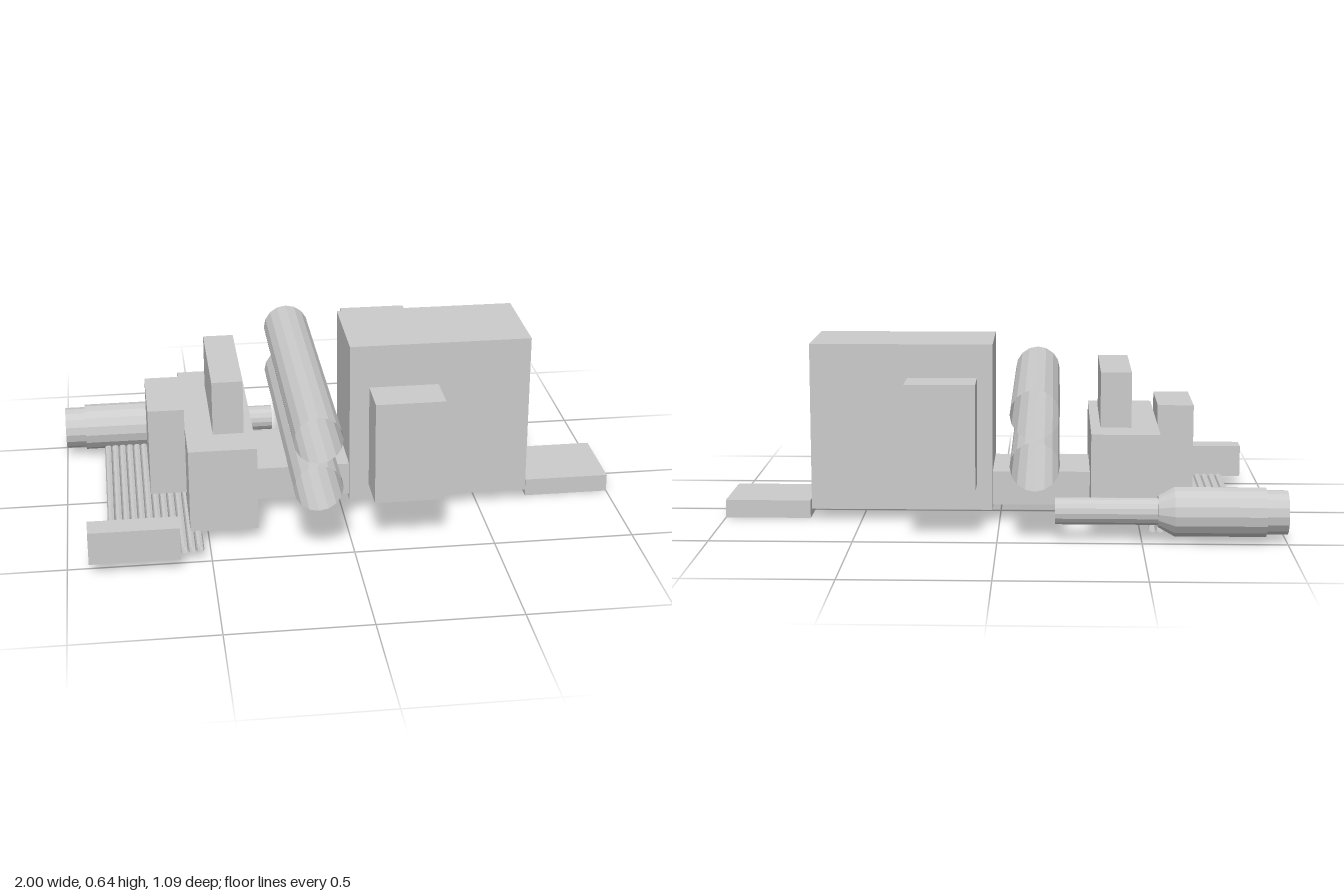
import * as THREE from 'three';

const solid = new THREE.MeshStandardMaterial({ color: 0xcccccc, flatShading: true });
const shell = new THREE.MeshStandardMaterial({ color: 0xcccccc, flatShading: true, side: THREE.DoubleSide });

export function createModel() {
  const model = new THREE.Group();

  const add = (name, geometry, material, x, y, z) => {
    const mesh = new THREE.Mesh(geometry, material);
    mesh.name = name;
    mesh.position.set(x, y, z);
    model.add(mesh);
    return mesh;
  };
  // Box given by its limits on each axis
  const box = (name, [x0, x1], [y0, y1], [z0, z1]) =>
    add(name, new THREE.BoxGeometry(x1 - x0, y1 - y0, z1 - z0), solid,
      (x0 + x1) / 2, (y0 + y1) / 2, (z0 + z1) / 2);
  // Open tube running along z
  const tube = (name, radius, length, sides, x, y, z) => {
    const g = new THREE.CylinderGeometry(radius, radius, length, sides, 1, true);
    g.rotateX(Math.PI / 2);
    return add(name, g, shell, x, y, z);
  };

  // Body, from the foot plate at +x to the tail box at -x
  box('footPlate', [0.69, 1.0], [0.0, 0.065], [-0.143, 0.143]);
  box('mainBlock', [0.025, 0.68], [0.043, 0.645], [-0.179, 0.179]);
  box('connectingBeam', [-0.325, 0.025], [0.06, 0.182], [-0.163, 0.163]);
  box('rearBlock', [-0.566, -0.325], [0.045, 0.355], [-0.36, 0.36]);
  box('upperBlock', [-0.47, -0.36], [0.355, 0.553], [-0.222, 0.222]);
  box('tailBox', [-0.695, -0.566], [0.1, 0.425], [-0.152, 0.152]);

  // Hanging side boxes
  box('sideBoxFront', [0.075, 0.32], [0.171, 0.545], [0.315, 0.468]);
  box('sideBoxBack', [0.075, 0.32], [0.171, 0.545], [-0.468, -0.315]);

  // Pair of stacked cross tubes
  tube('lowerCrossTube', 0.0855, 1.072, 16, -0.13, 0.275, 0);
  tube('upperCrossTube', 0.0855, 1.072, 16, -0.13, 0.455, 0);

  // Row of thin rods forming a rack
  const rods = 12, pitch = 0.0275;
  for (let i = 0; i < rods; i++) {
    tube('rackRod' + (i + 1), pitch / 2, 0.9, 8, -0.855 + pitch * (i + 0.5), 0.036, 0.027);
  }
  box('rackEndBox', [-0.925, -0.61], [0.04, 0.16], [0.457, 0.547]);

  // Stepped hollow barrel along x
  const profile = [
    [0.077, -1.0], [0.077, -0.925], [0.0865, -0.925], [0.0865, -0.61],
    [0.055, -0.555], [0.047, -0.555], [0.047, -0.2],
  ].map(([r, x]) => new THREE.Vector2(r, x));
  const barrel = new THREE.LatheGeometry(profile, 16);
  barrel.rotateZ(-Math.PI / 2);
  add('steppedBarrel', barrel, shell, 0, 0.105, -0.457);

  return model;
}
